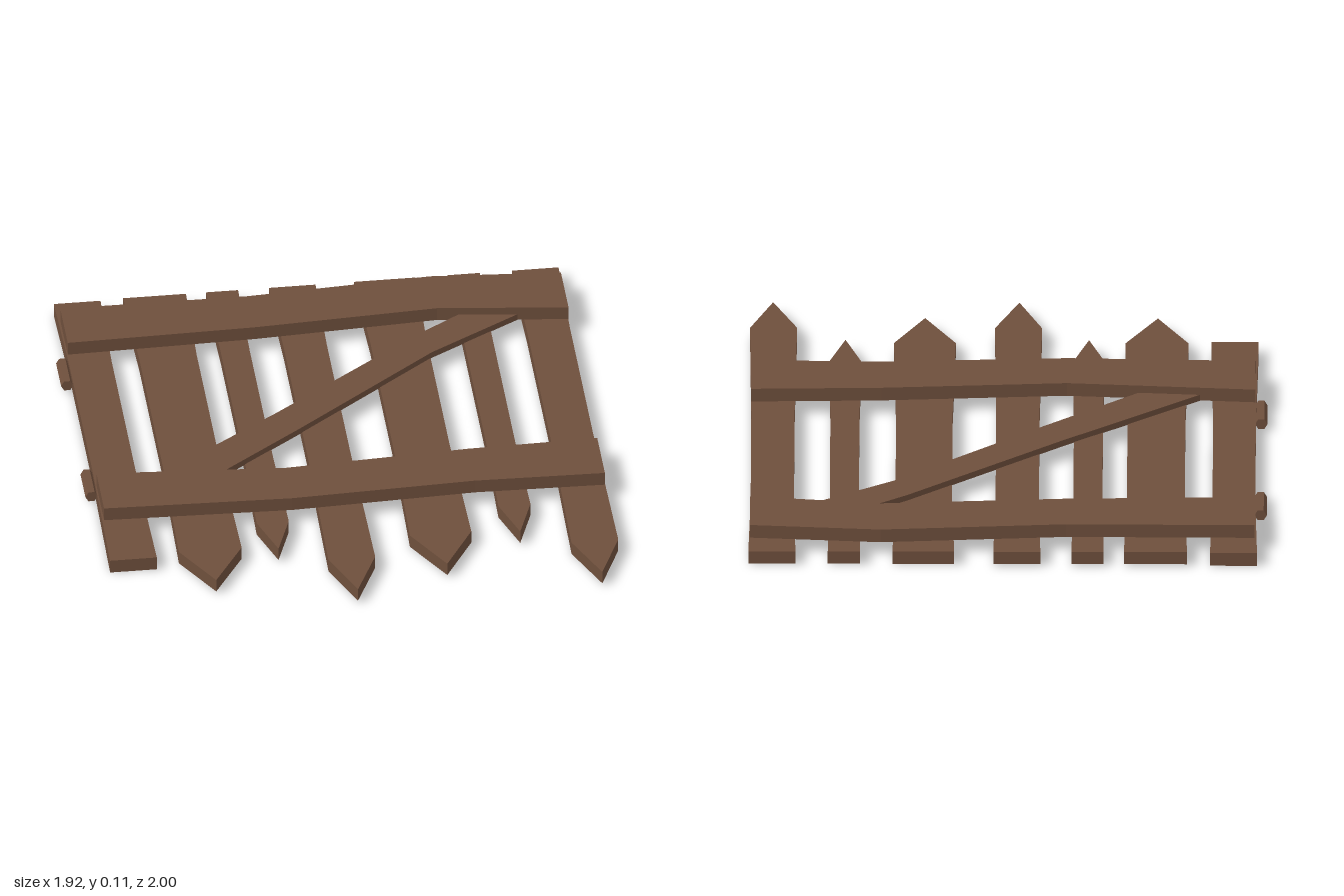
import * as THREE from 'three';

export function createModel() {
  const gate = new THREE.Group();
  gate.name = 'woodenGate';
  const wood = new THREE.MeshStandardMaterial({ color: 0x6e4f3c });
  wood.name = 'brownWood';

  // Flat board cut from an outline of [x, z] points, between two heights
  function board(name, outline, bottom, top) {
    const shape = new THREE.Shape(outline.map(([x, z]) => new THREE.Vector2(x, -z)));
    const geo = new THREE.ExtrudeGeometry(shape, { depth: top - bottom, bevelEnabled: false });
    geo.rotateX(-Math.PI / 2).translate(0, bottom, 0);
    const mesh = new THREE.Mesh(geo, wood);
    mesh.name = name;
    gate.add(mesh);
  }

  // Pickets: left, right, narrowing at the waist, shoulder z, tip x, tip z
  const pickets = [
    [-0.93, -0.755, 0.008, 0.69],
    [-0.67, -0.435, 0.01, 0.67, -0.555, 0.87],
    [-0.36, -0.24, 0.006, 0.52, -0.3, 0.695],
    [-0.125, 0.05, 0.007, 0.79, -0.04, 0.995],
    [0.195, 0.425, 0.01, 0.67, 0.31, 0.87],
    [0.545, 0.665, 0.006, 0.52, 0.605, 0.695],
    [0.785, 0.96, 0.007, 0.79, 0.875, 0.995],
  ];
  pickets.forEach(([l, r, waist, shoulder, tipX, tipZ], i) => {
    const outline = [[l, -1], [l + waist, -0.6], [l + waist, 0.1], [l, shoulder]];
    if (tipZ !== undefined) outline.push([tipX, tipZ]);
    outline.push([r, shoulder], [r - waist, 0.1], [r - waist, -0.6], [r, -1]);
    board('picket' + (i + 1), outline, i === 0 ? 0 : 0.006, i === 0 ? 0.053 : 0.057);
  });

  // Uneven cross rails
  board('backRail', [
    [-0.92, -0.885], [-0.22, -0.88], [0.47, -0.925], [0.955, -0.89],
    [0.955, -0.66], [0.47, -0.715], [-0.22, -0.675], [-0.92, -0.66],
  ], 0.057, 0.11);
  board('frontRail', [
    [-0.92, 0.2], [-0.22, 0.25], [0.47, 0.21], [0.955, 0.2],
    [0.955, 0.43], [0.47, 0.42], [-0.22, 0.45], [-0.92, 0.43],
  ], 0.057, 0.11);

  // Diagonal brace, tucked against both rails
  board('diagonalBrace', [
    [-0.72, 0.22], [-0.2, -0.155], [0.37, -0.59], [0.56, -0.715],
    [0.78, -0.69], [0.42, -0.475], [-0.13, -0.04], [-0.49, 0.235],
  ], 0.055, 0.08);

  // Hinge barrels along the left-hand edge in plan
  for (const [name, z] of [['backHinge', -0.575], ['frontHinge', 0.155]]) {
    const geo = new THREE.CylinderGeometry(0.023, 0.023, 0.15, 6).toNonIndexed();
    geo.rotateX(Math.PI / 2).rotateZ(Math.PI / 6);
    geo.computeVertexNormals();
    const hinge = new THREE.Mesh(geo, wood);
    hinge.name = name;
    hinge.position.set(-0.942, 0.028, z);
    gate.add(hinge);
  }
  return gate;
}
